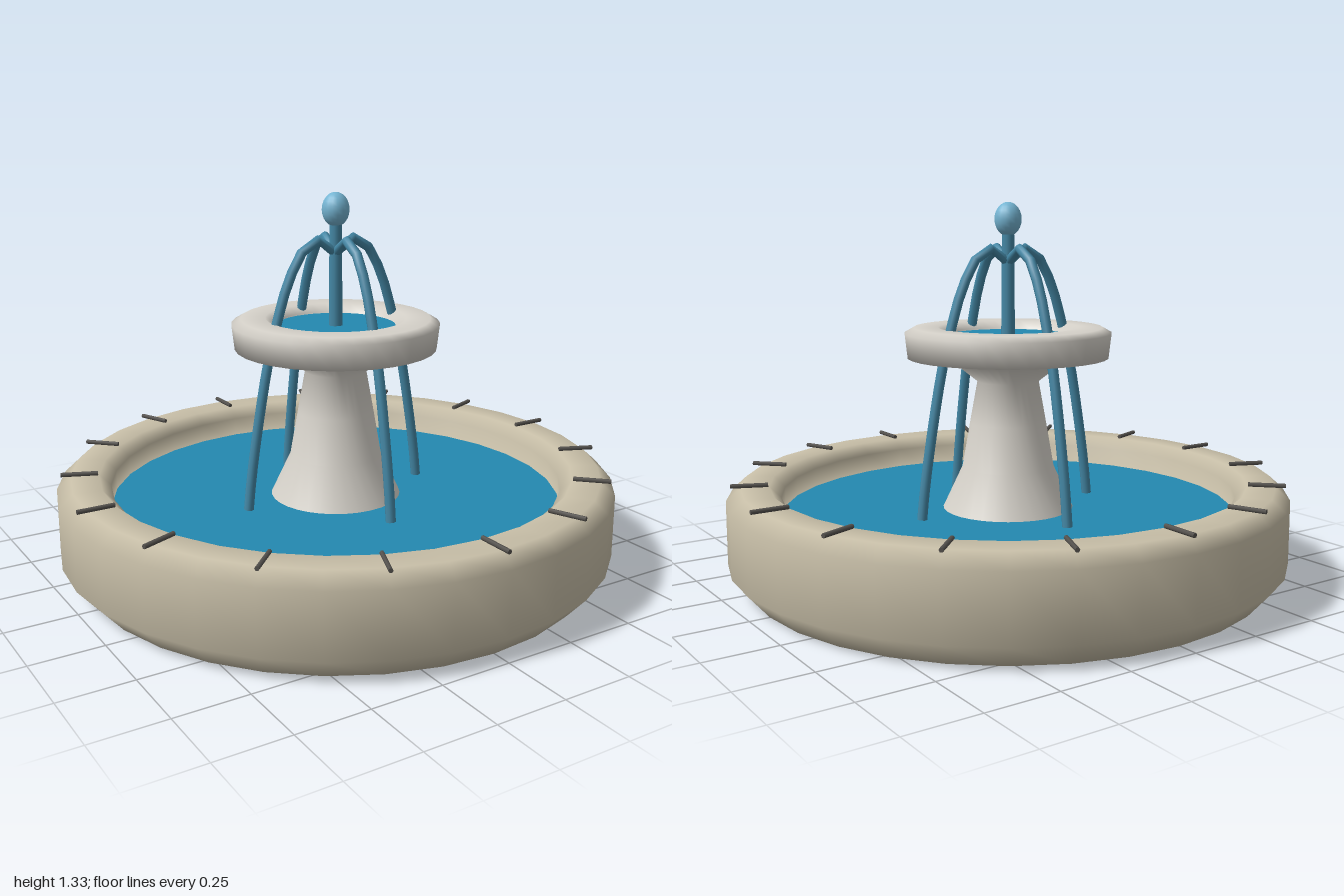
import * as THREE from 'three';

const mat = (color) => new THREE.MeshStandardMaterial({ color });
const stone = mat(0xc8bfa8);
const marble = mat(0xd6d2ca);
const water = mat(0x2389b0);
const stream = mat(0x4488a6);
const spray = mat(0x74b4d2);
const metal = mat(0x55524e);

function add(parent, name, geometry, material, y = 0) {
  const mesh = new THREE.Mesh(geometry, material);
  mesh.name = name;
  mesh.position.y = y;
  parent.add(mesh);
  return mesh;
}

// Smooth turned solid from [radius, height] pairs, listed from the bottom up the outside
const lathe = (profile, segments = 32) =>
  new THREE.LatheGeometry(profile.map(([r, y]) => new THREE.Vector2(r, y)), segments);

export function createModel() {
  const fountain = new THREE.Group();
  fountain.name = 'fountain';

  // Lower basin with bevelled rim and its pool
  add(fountain, 'basin', lathe([
    [0, 0], [0.93, 0], [1, 0.08], [1, 0.305], [0.95, 0.35],
    [0.85, 0.35], [0.81, 0.31], [0.81, 0.2], [0, 0.2],
  ]), stone);
  add(fountain, 'poolWater', new THREE.CylinderGeometry(0.812, 0.812, 0.03, 32), water, 0.225);

  // Flared pedestal
  add(fountain, 'pedestal', lathe([
    [0.25, 0.2], [0.235, 0.24], [0.165, 0.39], [0.137, 0.55], [0.11, 0.7], [0.195, 0.768], [0.22, 0.8],
  ]), marble);

  // Upper bowl and its water
  add(fountain, 'bowl', lathe([
    [0, 0.77], [0.2, 0.77], [0.36, 0.787], [0.37, 0.875], [0.337, 0.894],
    [0.25, 0.894], [0.214, 0.87], [0.214, 0.83], [0, 0.83],
  ]), marble);
  add(fountain, 'bowlWater', new THREE.CylinderGeometry(0.216, 0.216, 0.02, 32), water, 0.855);

  // Central jet with a drop on top
  add(fountain, 'jet', new THREE.CylinderGeometry(0.022, 0.025, 0.39, 8), stream, 1.055);
  add(fountain, 'jetDrop', new THREE.SphereGeometry(0.049, 16, 12), spray, 1.274).scale.y = 1.22;

  // Four arching streams falling into the pool
  const arc = new THREE.CatmullRomCurve3([
    [0.01, 1.13], [0.06, 1.172], [0.13, 1.14], [0.195, 1.025], [0.24, 0.889],
    [0.273, 0.766], [0.31, 0.58], [0.346, 0.36], [0.36, 0.24],
  ].map(([x, y]) => new THREE.Vector3(x, y, 0)));
  const arcGeometry = new THREE.TubeGeometry(arc, 14, 0.018, 8);
  for (let i = 0; i < 4; i++) {
    add(fountain, 'waterStream', arcGeometry, stream).rotation.y = i * Math.PI / 2;
  }

  // Thin radial rods around the rim
  const rodGeometry = new THREE.CylinderGeometry(0.008, 0.008, 0.13, 6).rotateZ(Math.PI / 2);
  for (let i = 0; i < 16; i++) {
    const angle = i * Math.PI / 8;
    const rod = add(fountain, 'rimRod', rodGeometry, metal, 0.357);
    rod.position.x = 0.919 * Math.cos(angle);
    rod.position.z = -0.919 * Math.sin(angle);
    rod.rotation.y = angle;
  }

  return fountain;
}
